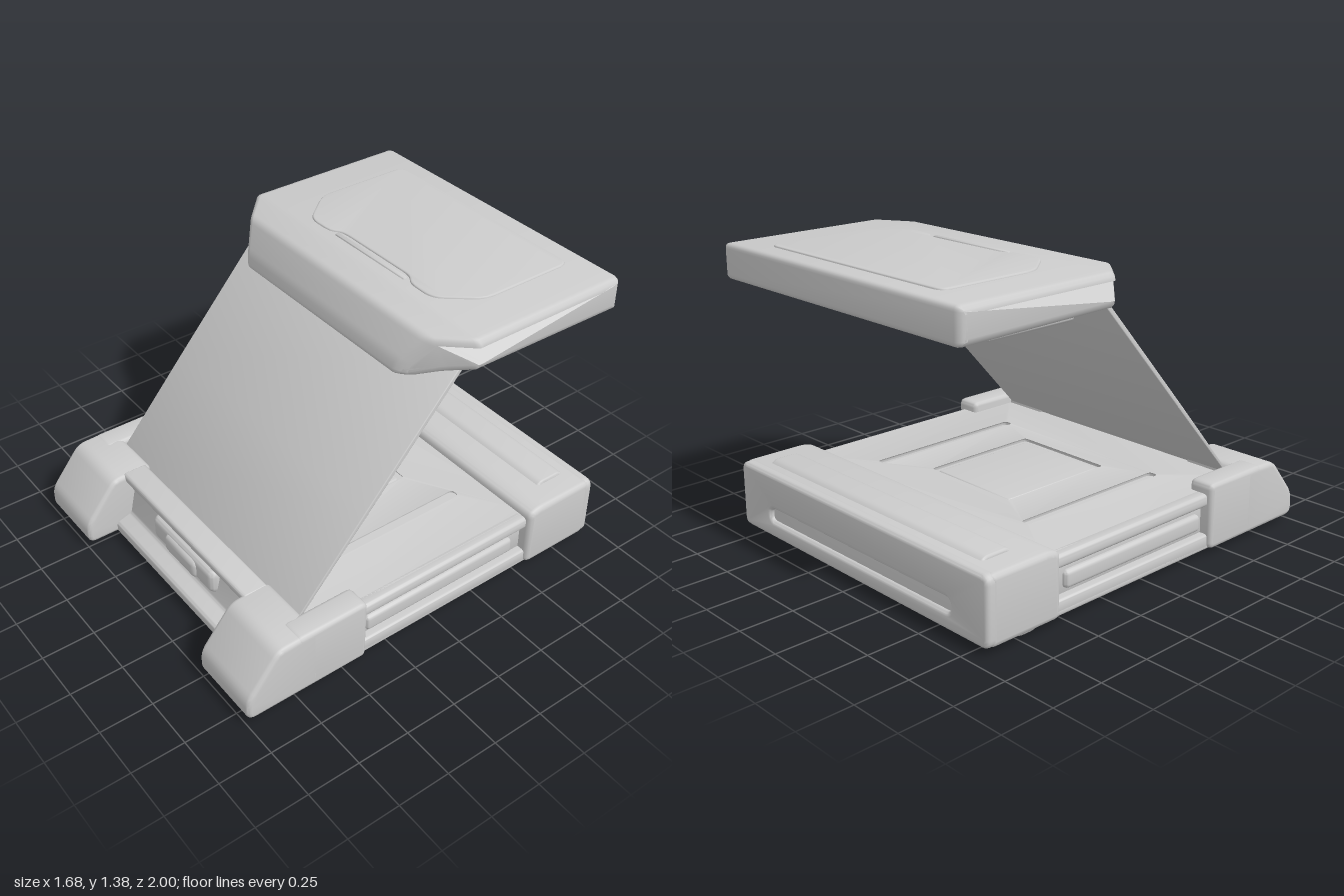
import * as THREE from 'three';
import { toCreasedNormals } from 'three/addons/utils/BufferGeometryUtils.js';
import { RoundedBoxGeometry } from 'three/addons/geometries/RoundedBoxGeometry.js';

const grey = new THREE.MeshStandardMaterial({ color: 0xcccccc, side: THREE.DoubleSide });

// Closed polygon with corners rounded by r
function rounded(points, r, target = new THREE.Shape()) {
  const p = points.map(([x, y]) => new THREE.Vector2(x, y));
  p.forEach((c, i) => {
    const prev = p[(i + p.length - 1) % p.length], next = p[(i + 1) % p.length];
    const toward = (q) => c.clone().lerp(q, Math.min(0.45, r / c.distanceTo(q)));
    const a = toward(prev), b = toward(next);
    if (i === 0) target.moveTo(a.x, a.y); else target.lineTo(a.x, a.y);
    target.quadraticCurveTo(c.x, c.y, b.x, b.y);
  });
  target.closePath();
  return target;
}

const rect = (x0, x1, y0, y1) => [[x0, y0], [x1, y0], [x1, y1], [x0, y1]];

function extrude(shape, from, to, bevel) {
  const g = new THREE.ExtrudeGeometry(shape, {
    depth: to - from - 2 * bevel, bevelEnabled: true, bevelThickness: bevel,
    bevelSize: bevel, bevelOffset: -bevel, bevelSegments: 3, curveSegments: 5,
  });
  return g.translate(0, 0, from + bevel);
}

// Side profile of [z, y] points swept along x
const alongX = (profile, x0, x1, bevel, r) =>
  extrude(rounded(profile.map(([z, y]) => [-z, y]), r), x0, x1, bevel).rotateY(Math.PI / 2);

// Plan outline of [x, z] points raised along y, with optional holes
function alongY(outline, y0, y1, bevel, r, holes = []) {
  const flip = (pts) => pts.map(([x, z]) => [x, -z]);
  const shape = rounded(flip(outline), r);
  holes.forEach((h) => shape.holes.push(rounded(flip(h), 0.03, new THREE.Path())));
  return extrude(shape, y0, y1, bevel).rotateX(-Math.PI / 2);
}

export function createModel() {
  const model = new THREE.Group();
  const add = (name, geometry, parent = model) => {
    const mesh = new THREE.Mesh(toCreasedNormals(geometry, 0.7), grey);
    mesh.name = name;
    parent.add(mesh);
    return mesh;
  };
  const box = (x0, x1, y0, y1, z0, z1, r) =>
    new RoundedBoxGeometry(x1 - x0, y1 - y0, z1 - z0, 3, r)
      .translate((x0 + x1) / 2, (y0 + y1) / 2, (z0 + z1) / 2);

  // Base tray: core plus top and bottom skins with pressed recesses
  const base = new THREE.Group();
  base.name = 'base';
  model.add(base);
  const recesses = [rect(-0.27, 0.27, -0.3, 0.32), rect(-0.52, -0.45, -0.42, 0.42), rect(0.45, 0.52, -0.42, 0.42)];
  const tray = rect(-0.785, 0.785, -0.6, 0.7);
  add('trayCore', box(-0.78, 0.78, 0.05, 0.27, -0.6, 0.7, 0.005), base);
  add('trayTop', alongY(tray, 0.25, 0.29, 0.012, 0.02, recesses), base);
  add('trayBottom', alongY(rect(-0.82, 0.82, -0.6, 0.72), 0.03, 0.06, 0.008, 0.02, recesses), base);
  add('trayTopPad', box(-0.24, 0.24, 0.25, 0.28, -0.27, 0.29, 0.01), base);
  add('trayBottomPad', box(-0.24, 0.24, 0.04, 0.07, -0.27, 0.29, 0.01), base);

  for (const s of [-1, 1]) {
    const side = s > 0 ? 'left' : 'right';
    const span = (a, b) => (s > 0 ? [a, b] : [-b, -a]);
    // Side ledge and ribs between front and rear blocks
    add(side + 'Ledge', box(...span(0.7, 0.82), 0.03, 0.1, -0.6, 0.45, 0.015), base);
    add(side + 'Rib', box(...span(0.75, 0.805), 0.12, 0.2, -0.48, 0.36, 0.02), base);
    add(side + 'TopRail', box(...span(0.74, 0.815), 0.23, 0.29, -0.56, 0.42, 0.02), base);
    // Wedge-nosed front corner and the arm running back from it
    add(side + 'FrontCorner', alongX(
      [[0.64, 0.03], [1, 0.03], [1, 0.14], [0.84, 0.335], [0.64, 0.34]],
      ...span(0.48, 0.84), 0.02, 0.04), base);
    add(side + 'FrontArm', alongX(
      [[0.39, 0.03], [0.75, 0.03], [0.75, 0.34], [0.385, 0.34]],
      ...span(0.715, 0.84), 0.02, 0.03), base);
  }

  // Recessed front bar with handle
  add('frontBar', alongX(
    [[0.66, 0.03], [0.85, 0.03], [0.85, 0.085], [0.77, 0.11], [0.735, 0.26], [0.78, 0.3], [0.78, 0.34], [0.66, 0.34]],
    -0.5, 0.5, 0.005, 0.015), base);
  add('frontHandle', box(-0.25, 0.25, 0.14, 0.27, 0.7, 0.785, 0.035), base);
  add('frontHandleGrip', box(-0.13, 0.13, 0.15, 0.25, 0.72, 0.8, 0.03), base);

  // Rear block with a long groove in its back face
  add('rearBlock', alongX(
    [[-0.545, 0.03], [-0.92, 0.03], [-0.92, 0.34], [-0.6, 0.34], [-0.545, 0.32]],
    -0.84, 0.84, 0.025, 0.03), base);
  const back = rounded(rect(-0.84, 0.84, 0.03, 0.34), 0.04);
  back.holes.push(rounded(rect(-0.62, 0.62, 0.11, 0.17), 0.03, new THREE.Path()));
  add('rearFace', extrude(back, -0.96, -0.9, 0.02).translate(0, 0, 0.02), base);
  add('rearTopRidge', alongX(
    [[-0.68, 0.32], [-0.88, 0.32], [-0.84, 0.355], [-0.72, 0.355]], -0.72, 0.72, 0.012, 0.02), base);
  add('rearFoot', alongX(
    [[-0.59, 0.05], [-0.64, 0], [-0.74, 0], [-0.79, 0.05]], -0.8, 0.8, 0.015, 0.03), base);

  // Thin leaning panel
  add('leaningPanel', alongX(
    [[0.67, 0.29], [0.65, 0.29], [0.29, 0.69], [-0.2, 1.24], [-0.18, 1.25], [0.31, 0.7]],
    -0.71, 0.71, 0.004, 0.006));

  // Lid, its front narrowed by a plan chamfer
  const lid = new THREE.Group();
  lid.name = 'lid';
  model.add(lid);
  const shell = alongX(
    [[-1, 1.215], [-0.2, 1.225], [-0.11, 1.205], [-0.02, 1.168], [0.035, 1.172],
      [0.02, 1.24], [-0.055, 1.365], [-0.2, 1.375], [-1, 1.375]],
    -0.775, 0.775, 0.035, 0.025);
  const pos = shell.attributes.position;
  for (let i = 0; i < pos.count; i++) {
    const t = THREE.MathUtils.clamp((pos.getZ(i) + 0.2) / 0.235, 0, 1);
    pos.setX(i, pos.getX(i) * (1 - 0.32 * t));
  }
  add('lidShell', shell, lid);
  add('lidTopPanel', alongY(
    [[-0.56, -0.9], [0.56, -0.9], [0.56, -0.42], [0.42, -0.25], [0.28, -0.25], [0.23, -0.29],
      [-0.23, -0.29], [-0.28, -0.25], [-0.42, -0.25], [-0.56, -0.42]],
    1.355, 1.383, 0.008, 0.05), lid);
  add('lidTopCatch', box(-0.24, 0.24, 1.36, 1.382, -0.275, -0.25, 0.008), lid);
  add('lidUndersidePad', alongX(
    [[-0.86, 1.23], [-0.81, 1.185], [-0.38, 1.185], [-0.28, 1.23]], -0.6, 0.6, 0.012, 0.03), lid);
  for (const s of [-1, 1]) {
    add('lidUndersideRail', box(s * 0.665 - 0.045, s * 0.665 + 0.045, 1.19, 1.25, -0.81, -0.35, 0.02), lid);
  }
  return model;
}
